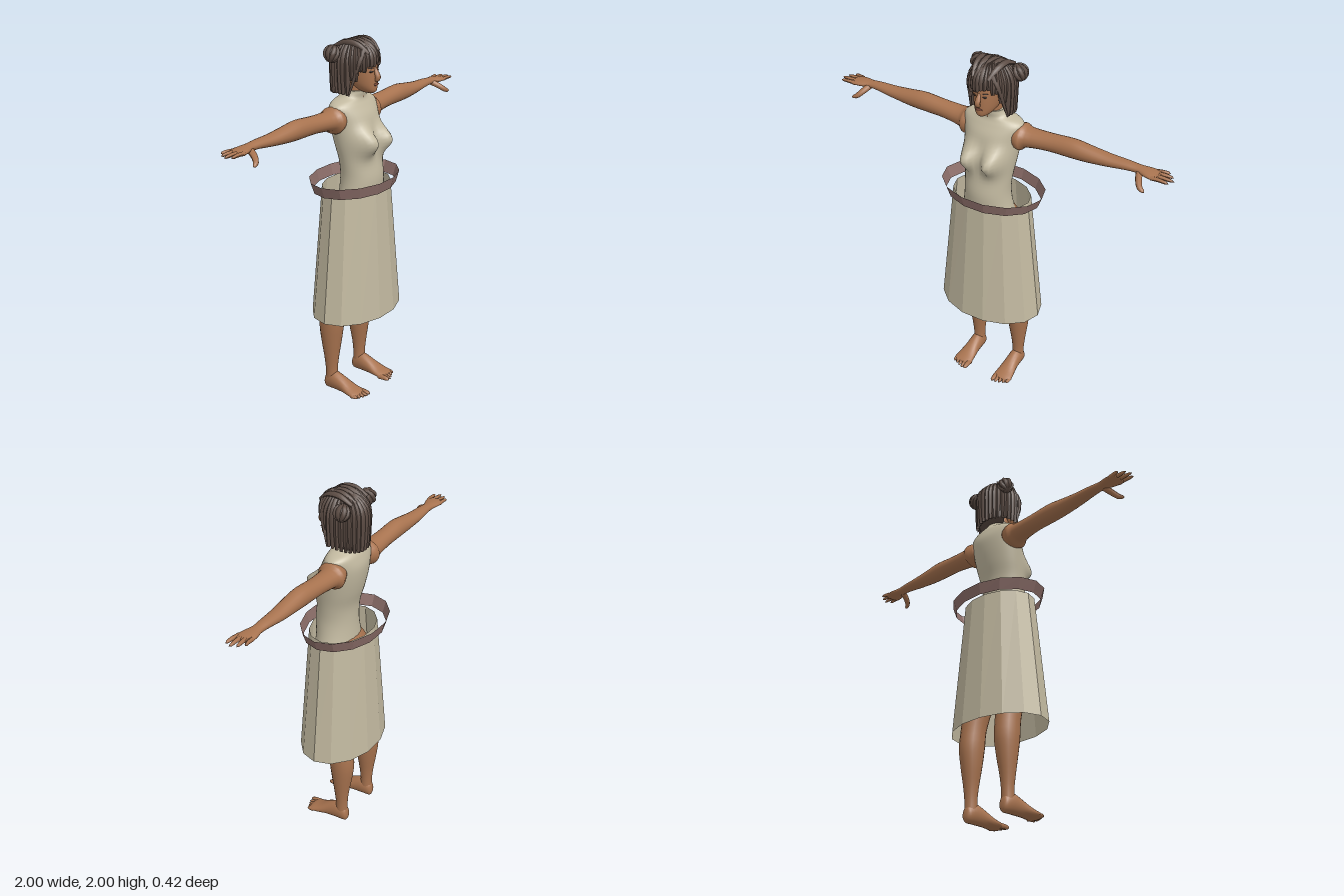
import * as THREE from 'three';

const mat = (name, color, side = THREE.FrontSide) => {
  const m = new THREE.MeshStandardMaterial({ color, side });
  m.name = name;
  return m;
};

// Catmull-Rom step between rows b and c of a section table
const spline = (a, b, c, d, t) => b.map((_, k) => 0.5 * (2 * b[k] + (c[k] - a[k]) * t
  + (2 * a[k] - 5 * b[k] + 4 * c[k] - d[k]) * t * t
  + (3 * b[k] - a[k] - 3 * c[k] + d[k]) * t * t * t));

// Smooth closed body from elliptical sections [t, u, v, ru, rv]; t runs along the axis
const AXES = { y: (t, u, v) => [u, t, v], x: (t, u, v) => [t, v, u], z: (t, u, v) => [v, u, t] };
function loft(axis, sections, { sides = 20, steps = 3, shape = null } = {}) {
  const rows = [], last = sections.length - 1, at = i => sections[Math.max(0, Math.min(last, i))];
  for (let i = 0; i < last; i++)
    for (let s = 0; s < steps; s++) rows.push(spline(at(i - 1), at(i), at(i + 1), at(i + 2), s / steps));
  rows.push(at(last));
  const pos = [], idx = [], put = (t, u, v) => {
    const p = AXES[axis](t, u, v);
    pos.push(...(shape ? shape(...p) : p));
  };
  for (const [t, u, v, ru, rv] of rows)
    for (let j = 0; j < sides; j++) {
      const a = j / sides * Math.PI * 2;
      put(t, u + Math.cos(a) * ru, v + Math.sin(a) * rv);
    }
  const top = (rows.length - 1) * sides, c0 = rows.length * sides;
  put(rows[0][0], rows[0][1], rows[0][2]);
  put(at(last)[0], at(last)[1], at(last)[2]);
  for (let j = 0; j < sides; j++) {
    const k = (j + 1) % sides;
    for (let i = 0; i < top; i += sides)
      idx.push(i + j, i + sides + j, i + k, i + k, i + sides + j, i + sides + k);
    idx.push(c0, j, k, c0 + 1, top + k, top + j);
  }
  const g = new THREE.BufferGeometry();
  g.setAttribute('position', new THREE.Float32BufferAttribute(pos, 3));
  g.setIndex(idx);
  g.computeVertexNormals();
  return g;
}

// Tapered tube along points; radius follows profile(t)
function strand(points, profile, segs = 10, sides = 6) {
  const curve = new THREE.CatmullRomCurve3(points.map(p => new THREE.Vector3(...p)));
  const g = new THREE.TubeGeometry(curve, segs, 1, sides), p = g.attributes.position, v = new THREE.Vector3();
  for (let i = 0; i < p.count; i++) {
    const t = Math.floor(i / (sides + 1)) / segs, c = curve.getPointAt(t);
    v.fromBufferAttribute(p, i).sub(c).multiplyScalar(profile(t)).add(c);
    p.setXYZ(i, v.x, v.y, v.z);
  }
  g.computeVertexNormals();
  return g;
}
const finger = r => t => r * Math.sqrt(Math.max(0, 1 - t ** 6)) * (1 - 0.25 * t);

// Mirror across x with the winding put right
function mirror(g) {
  const m = g.clone().scale(-1, 1, 1), a = m.index.array;
  for (let i = 0; i < a.length; i += 3) [a[i], a[i + 1]] = [a[i + 1], a[i]];
  return m;
}

// Faceted open oval band
function band(top, bottom, y0, y1, depthTop, depthBottom, zc) {
  const n = 14, g = new THREE.CylinderGeometry(1, 1, 1, n, 1, true, Math.PI / n).toNonIndexed(), p = g.attributes.position;
  for (let i = 0; i < p.count; i++) {
    const up = p.getY(i) > 0;
    p.setXYZ(i, p.getX(i) * (up ? top : bottom), up ? y1 : y0, zc + p.getZ(i) * (up ? depthTop : depthBottom));
  }
  g.computeVertexNormals();
  return g;
}

export function createModel() {
  const model = new THREE.Group();
  const cloth = mat('linen', 0xc2b9a0, THREE.DoubleSide), trim = mat('mauveTrim', 0x8c6e69, THREE.DoubleSide);
  const skin = mat('skin', 0xa8734f), hair = mat('darkHair', 0x5c4c44);
  const lipColor = mat('lips', 0x82503f), dark = mat('eyeDark', 0x2e221d);
  const add = (name, g, m, parent = model) => {
    const mesh = new THREE.Mesh(g, m);
    mesh.name = name;
    parent.add(mesh);
    return mesh;
  };
  const pair = (name, g, m, parent) => {
    add(name + 'Left', g, m, parent);
    add(name + 'Right', mirror(g), m, parent);
  };
  const group = name => {
    const g = new THREE.Group();
    g.name = name;
    model.add(g);
    return g;
  };

  // Skirt and floating waist hoop
  add('skirt', band(0.222, 0.303, 0.49, 1.22, 0.163, 0.21, 0.008), cloth);
  add('waistHoop', band(0.297, 0.272, 1.2, 1.262, 0.211, 0.196, -0.004), trim);

  // Bodice with a swelling chest
  add('bodice', loft('y', [
    [1.1, 0, 0.035, 0.165, 0.115], [1.18, 0, 0.04, 0.14, 0.11], [1.27, 0, 0.045, 0.128, 0.11],
    [1.36, 0, 0.035, 0.133, 0.105], [1.45, 0, 0.015, 0.145, 0.11], [1.53, 0, 0, 0.155, 0.112],
    [1.6, 0, -0.01, 0.163, 0.108], [1.65, 0, -0.018, 0.172, 0.088], [1.675, 0, -0.02, 0.145, 0.075],
    [1.693, 0, -0.015, 0.09, 0.066], [1.715, 0, -0.005, 0.068, 0.06], [1.73, 0, 0, 0.064, 0.056],
  ], {
    sides: 40, steps: 4, shape: (x, y, z) => {
      const bump = Math.exp(-(((Math.abs(x) - 0.072) / 0.05) ** 2) - ((y - 1.47) / 0.065) ** 2);
      return [x, y, z > 0 ? z + 0.085 * bump * Math.min(1, z / 0.06) : z];
    },
  }), cloth);

  // Hips and legs
  add('hips', loft('y', [
    [0.84, 0, 0, 0.07, 0.06], [0.9, 0, 0, 0.17, 0.11], [1.0, 0, 0.005, 0.195, 0.13],
    [1.1, 0, 0.02, 0.175, 0.125], [1.17, 0, 0.03, 0.13, 0.1],
  ]), skin);
  const legs = group('legs');
  pair('leg', loft('y', [
    [0.04, 0.135, -0.065, 0.033, 0.036], [0.12, 0.135, -0.067, 0.033, 0.034], [0.2, 0.135, -0.067, 0.041, 0.042],
    [0.3, 0.133, -0.068, 0.055, 0.058], [0.4, 0.132, -0.067, 0.064, 0.071], [0.5, 0.13, -0.058, 0.065, 0.071],
    [0.6, 0.125, -0.04, 0.073, 0.078], [0.75, 0.115, -0.015, 0.085, 0.09], [0.92, 0.1, 0, 0.092, 0.1],
  ]), skin, legs);
  pair('foot', loft('z', [
    [-0.107, 0.035, 0.135, 0.012, 0.012], [-0.095, 0.046, 0.135, 0.044, 0.029], [-0.05, 0.057, 0.135, 0.056, 0.037],
    [0.01, 0.046, 0.135, 0.045, 0.041], [0.07, 0.029, 0.137, 0.027, 0.051], [0.115, 0.02, 0.138, 0.018, 0.056],
    [0.135, 0.015, 0.138, 0.01, 0.05],
  ]), skin, legs);
  for (let i = 0; i < 5; i++) {
    const x = 0.097 + i * 0.021, r = i ? 0.012 : 0.016, end = [0.17, 0.168, 0.16, 0.15, 0.14][i];
    pair('toe' + (i + 1), strand([[x, 0.018, 0.1], [x, 0.019, 0.13], [x, r, end]], finger(r), 8, 8), skin, legs);
  }

  // Arms, fingers and thumbs
  const arms = group('arms');
  pair('arm', loft('x', [
    [0.11, -0.025, 1.595, 0.06, 0.055], [0.165, -0.027, 1.588, 0.08, 0.072], [0.2, -0.032, 1.592, 0.062, 0.052],
    [0.32, -0.035, 1.6, 0.051, 0.046], [0.45, -0.035, 1.606, 0.05, 0.05], [0.54, -0.036, 1.603, 0.047, 0.043],
    [0.65, -0.04, 1.601, 0.041, 0.031], [0.75, -0.042, 1.605, 0.033, 0.023], [0.81, -0.042, 1.604, 0.03, 0.019],
    [0.86, -0.039, 1.603, 0.044, 0.017], [0.9, -0.036, 1.602, 0.049, 0.013], [0.925, -0.036, 1.602, 0.043, 0.008],
  ]), skin, arms);
  [[-0.073, -0.085, 0.955], [-0.049, -0.056, 0.985], [-0.024, -0.025, 1], [0, 0.006, 0.985]].forEach(([z0, z1, x1], i) =>
    pair('finger' + (i + 1), strand([[0.89, 1.602, z0], [0.935, 1.606, (z0 + z1) / 2], [x1, 1.603, z1]],
      finger(0.0115), 8, 8), skin, arms));
  pair('thumb', strand([[0.815, 1.598, -0.03], [0.835, 1.575, 0.015], [0.855, 1.555, 0.04], [0.885, 1.543, 0.05]],
    finger(0.018), 10, 8), skin, arms);

  // Head and face
  const head = group('head');
  add('neck', loft('y', [[1.68, 0, 0, 0.055, 0.05], [1.78, 0, 0.01, 0.052, 0.05]]), skin, head);
  add('face', loft('y', [
    [1.722, 0, 0.085, 0.018, 0.03], [1.735, 0, 0.075, 0.036, 0.055], [1.765, 0, 0.052, 0.057, 0.08],
    [1.81, 0, 0.035, 0.069, 0.097], [1.86, 0, 0.025, 0.076, 0.103], [1.91, 0, 0.015, 0.078, 0.105],
    [1.95, 0, 0.01, 0.06, 0.085], [1.97, 0, 0.01, 0.02, 0.03],
  ], { sides: 28 }), skin, head);
  add('nose', strand([[0, 1.855, 0.122], [0, 1.825, 0.135], [0, 1.803, 0.143], [0, 1.79, 0.128]],
    t => 0.007 + 0.008 * Math.sin(t * 2.6), 10, 8), skin, head);
  const oval = (w, h, x, y, z, turn) => new THREE.SphereGeometry(1, 14, 8).scale(w, h, 0.004).rotateY(turn).translate(x, y, z);
  add('mouth', oval(0.023, 0.007, 0, 1.769, 0.132, 0), lipColor, head);
  pair('eye', oval(0.013, 0.005, 0.03, 1.838, 0.121, 0.4), dark, head);
  pair('eyebrow', oval(0.017, 0.003, 0.031, 1.856, 0.119, 0.4), hair, head);
  pair('ear', new THREE.SphereGeometry(1, 12, 8).scale(0.012, 0.028, 0.018).translate(0.077, 1.82, 0.012), skin, head);

  // Bobbed hair: scalp, hanging locks and a short fringe
  const hairdo = group('hair');
  add('scalp', new THREE.SphereGeometry(1, 28, 18).scale(0.1, 0.105, 0.118).translate(0, 1.882, -0.012), hair, hairdo);
  add('backHair', loft('y', [
    [1.715, 0, -0.065, 0.1, 0.05], [1.8, 0, -0.06, 0.1, 0.06], [1.9, 0, -0.045, 0.095, 0.07],
  ]), hair, hairdo);
  const locks = 34;
  for (let i = 0; i < locks; i++) {
    const a = (i + 0.5) / locks * Math.PI * 2, off = Math.min(a, 2 * Math.PI - a) * 180 / Math.PI;
    const wob = Math.sin(i * 12.9) * 0.012;
    const end = (off < 32 ? 1.875 : off < 50 ? 1.845 : off < 72 ? 1.79 : 1.708) + wob;
    const at = (k, y) => [Math.sin(a) * 0.1 * k, y, 0.002 + Math.cos(a) * 0.118 * k];
    add('lock' + (i + 1), strand([
      at(0.1, 1.978), at(0.55, 1.968 + wob * 0.5), at(0.92, 1.925), at(1.03, 1.89),
      at(1.06, (1.89 + end) / 2), at(off < 72 ? 1.05 : 1.1, end),
    ], t => 0.006 + 0.015 * Math.sin(Math.PI * Math.min(1, 0.12 + t * 0.82)), 14), hair, hairdo);
  }
  // Loose locks framing the face
  pair('sideLock', strand([[0.05, 1.95, 0.09], [0.085, 1.89, 0.085], [0.098, 1.8, 0.06], [0.11, 1.715, 0.035]],
    t => 0.016 * (1 - 0.7 * t), 12), hair, hairdo);
  // Braids running over the crown
  for (let i = -2; i <= 2; i++)
    add('crownBraid' + (i + 3), strand([[i * 0.022, 1.93, 0.115], [i * 0.03, 1.972, 0.06], [i * 0.034, 1.982, -0.01],
      [i * 0.036, 1.95, -0.09]], t => 0.009 + 0.008 * Math.sin(Math.PI * t), 12), hair, hairdo);

  // Coiled buns
  pair('bun', new THREE.IcosahedronGeometry(0.04, 3).scale(1, 1.05, 0.95).translate(0.118, 1.925, -0.06).setIndex(
    [...Array(20 * 16 * 3).keys()]), hair, hairdo);
  for (let i = 0; i < 4; i++)
    pair('bunCoil' + (i + 1), new THREE.TorusGeometry(0.034, 0.013, 6, 16).rotateY(i * Math.PI / 4)
      .rotateZ(0.5).translate(0.12, 1.925, -0.06), hair, hairdo);
  return model;
}
